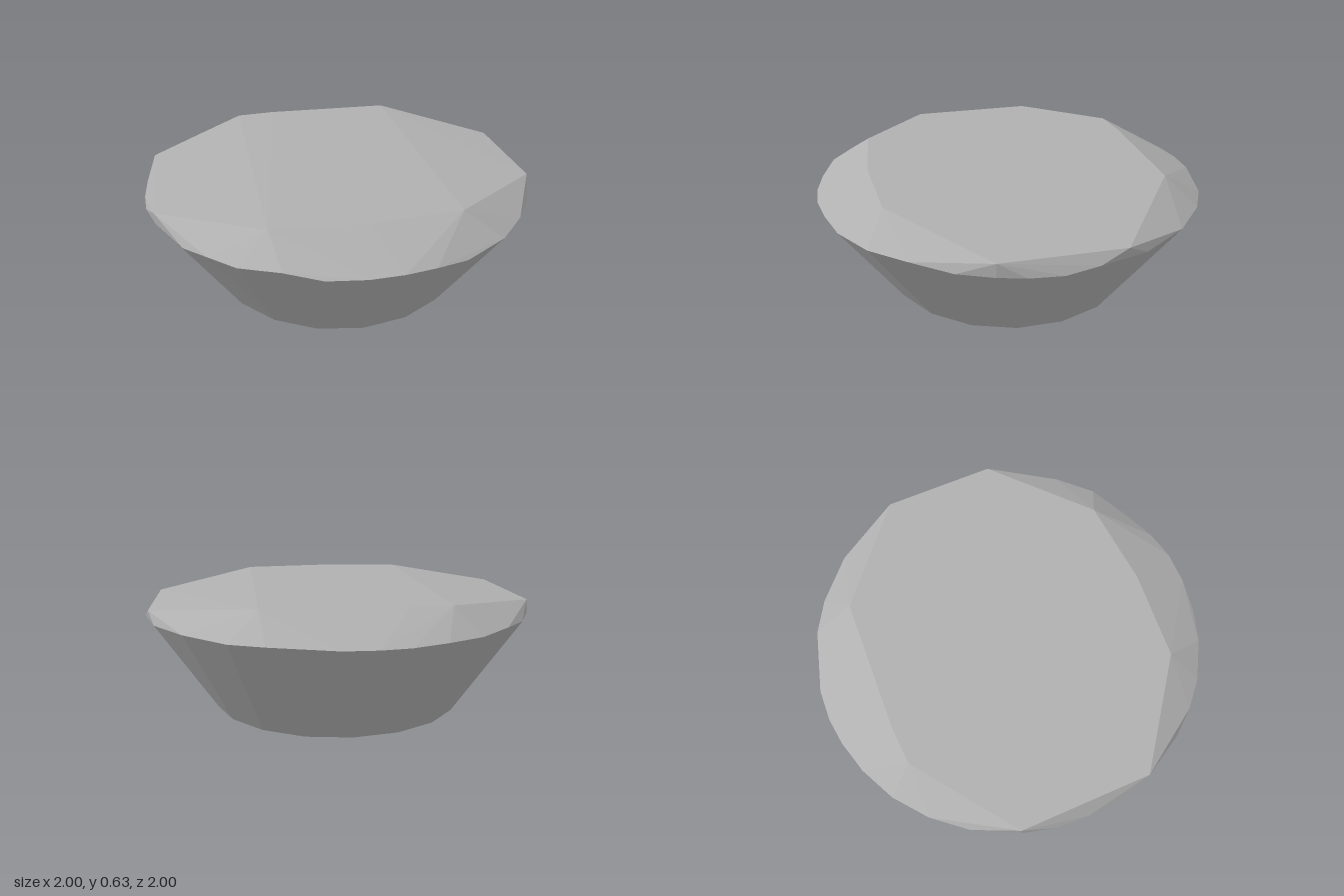
import * as THREE from 'three';
import { ConvexGeometry } from 'three/addons/geometries/ConvexGeometry.js';

// Faceted, solid bowl-like block: narrow base, wide uneven rim, gently sloped top.
export function createModel() {
  const group = new THREE.Group();
  const stone = new THREE.MeshStandardMaterial({ color: 0xb0b0b0 });
  stone.name = 'grey';

  // rim corners: x, y, z
  const rim = [
    [1, 0.495, 0], [0.99, 0.5, 0.16], [0.96, 0.505, 0.29], [0.89, 0.505, 0.45], [0.77, 0.52, 0.63],
    [0.62, 0.515, 0.79], [0.4, 0.5, 0.91], [0.24, 0.515, 0.965], [0.09, 0.52, 0.995], [-0.07, 0.517, 0.995],
    [-0.25, 0.515, 0.965], [-0.42, 0.537, 0.9], [-0.6, 0.522, 0.8], [-0.72, 0.525, 0.69], [-0.82, 0.51, 0.57],
    [-0.94, 0.52, 0.34], [-0.99, 0.505, 0.15], [-1, 0.5, 0], [-0.99, 0.505, -0.17], [-0.95, 0.515, -0.33],
    [-0.84, 0.515, -0.55], [-0.71, 0.525, -0.71], [-0.55, 0.515, -0.84], [-0.37, 0.515, -0.93],
    [-0.2, 0.51, -0.98], [-0.06, 0.51, -1], [0.1, 0.51, -0.995], [0.41, 0.515, -0.91], [0.57, 0.51, -0.82],
    [0.77, 0.515, -0.64], [0.92, 0.51, -0.4], [0.99, 0.515, -0.16],
  ];
  // ridge corners of the top
  const top = [
    [-0.45, 0.633, -0.705], [-0.25, 0.635, -0.717], [0.43, 0.633, -0.7],
    [0.45, 0.633, 0.7], [0, 0.635, 0.735], [-0.45, 0.633, 0.7],
    [-0.945, 0.582, 0.34], [-0.945, 0.582, -0.33], [0.957, 0.57, 0.285], [0.957, 0.565, -0.3],
  ];
  const points = [...rim, ...top].map((p) => new THREE.Vector3(...p));

  // base ring
  const sides = 18;
  for (let i = 0; i < sides; i++) {
    const a = ((i + 0.5) / sides) * Math.PI * 2;
    points.push(new THREE.Vector3(0.655 * Math.cos(a), 0, 0.655 * Math.sin(a)));
  }

  const body = new THREE.Mesh(new ConvexGeometry(points), stone);
  body.name = 'facetedBody';
  group.add(body);
  return group;
}
